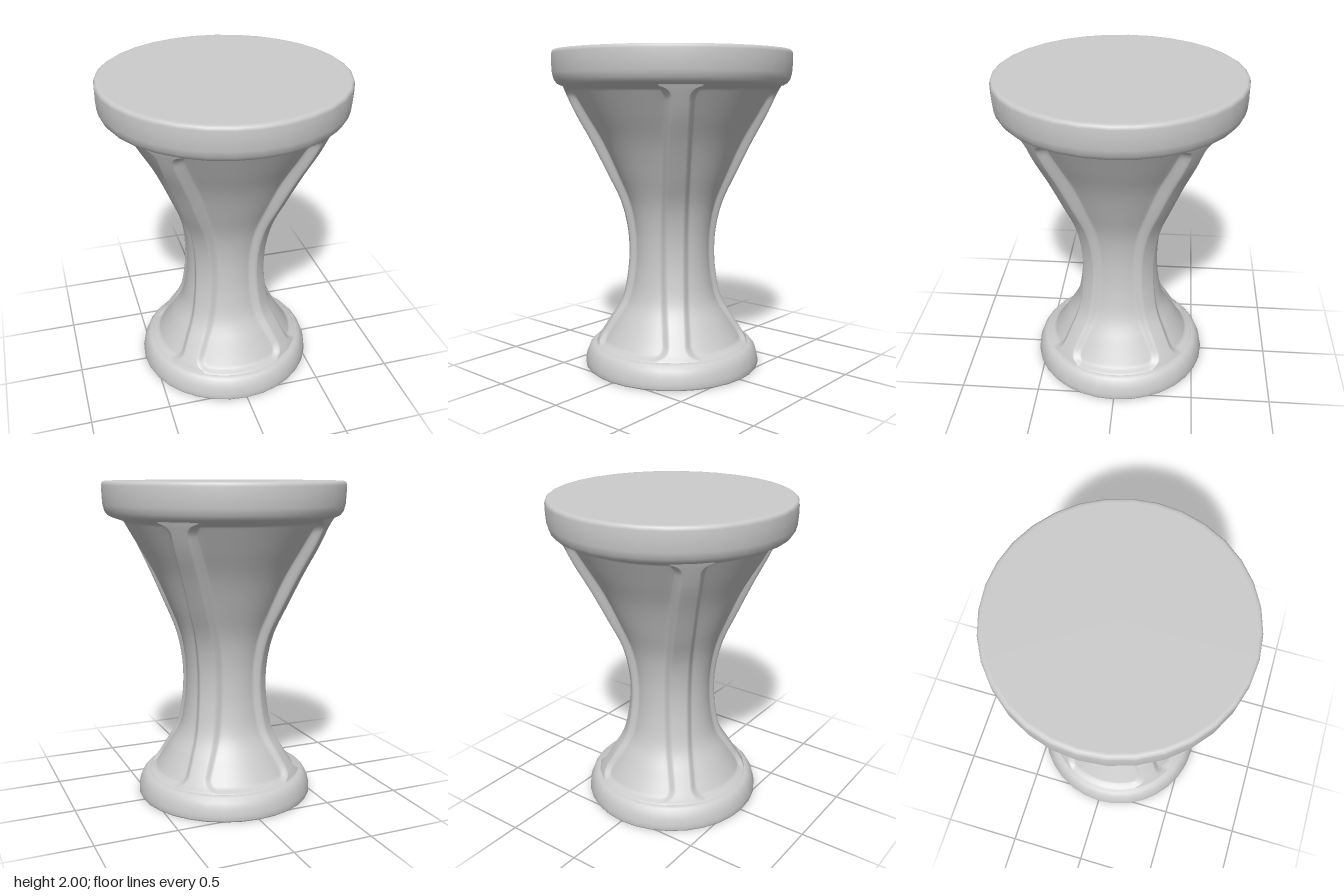
import * as THREE from 'three';

const V2 = (p) => new THREE.Vector2(p[0], p[1]);

// Pedestal column: flared waist with four raised ribs on the diagonals
// and four recessed panels with rounded corners between them.
function columnGeometry() {
  // panel radius, height, rib rise
  const spine = new THREE.CatmullRomCurve3([
    [0.462, 0.15, 0.03], [0.37, 0.296, 0.03], [0.29, 0.434, 0.03], [0.254, 0.598, 0.03],
    [0.243, 0.757, 0.03], [0.25, 0.905, 0.035], [0.28, 1.063, 0.045], [0.35, 1.243, 0.06],
    [0.44, 1.445, 0.07], [0.54, 1.62, 0.065], [0.635, 1.785, 0.045],
  ].map((p) => new THREE.Vector3(...p)));
  const flat = 0.04, bevel = 0.05, corner = 0.07, lip = 0.025;
  const rows = 64, bevelSteps = 7, panelSteps = 18;
  const smooth = THREE.MathUtils.smoothstep;
  const pos = [], index = [];
  let cols = 0;

  for (let i = 0; i <= rows; i++) {
    const s = 0.5 - 0.5 * Math.cos((Math.PI * i) / rows);
    const p = spine.getPoint(s);
    const end = Math.min(p.y - 0.15, 1.785 - p.y);
    const lipRise = 1 - smooth(end, 0, lip);
    // widen the rib close to its ends to round the panel corners
    const k = Math.max(0, corner - Math.max(0, end - lip * 0.5));
    const widen = corner - Math.sqrt(Math.max(0, corner * corner - k * k));
    // angle offsets and rise from the rib centre to the panel centre
    const half = [[0, 1]];
    for (let j = 0; j <= bevelSteps; j++) {
      const f = j / bevelSteps;
      half.push([Math.asin((flat + widen + bevel * f) / p.x), 1 - smooth(f, 0, 1)]);
    }
    const last = half[half.length - 1][0];
    for (let j = 1; j <= panelSteps / 2; j++) {
      half.push([last + ((Math.PI / 4 - last) * j * 2) / panelSteps, 0]);
    }
    const section = [
      ...half.slice(1).reverse().map(([a, m]) => [-a, m]),
      ...half.slice(0, -1),
    ];
    cols = section.length * 4;
    for (let q = 0; q < 4; q++) {
      for (const [a, m] of section) {
        const angle = Math.PI / 4 + (q * Math.PI) / 2 + a;
        const r = p.x + p.z * Math.max(m, lipRise);
        pos.push(r * Math.sin(angle), p.y, r * Math.cos(angle));
      }
    }
  }
  for (let i = 0; i < rows; i++) {
    for (let j = 0; j < cols; j++) {
      const a = i * cols + j, b = i * cols + ((j + 1) % cols);
      index.push(a, b, b + cols, a, b + cols, a + cols);
    }
  }
  const geometry = new THREE.BufferGeometry();
  geometry.setAttribute('position', new THREE.Float32BufferAttribute(pos, 3));
  geometry.setIndex(index);
  geometry.computeVertexNormals();
  return geometry;
}

export function createModel() {
  const group = new THREE.Group();
  group.name = 'stool';
  const plastic = new THREE.MeshStandardMaterial({ color: 0xcccccc });
  plastic.name = 'light grey plastic';

  const add = (name, geometry) => {
    const mesh = new THREE.Mesh(geometry, plastic);
    mesh.name = name;
    group.add(mesh);
  };

  // Round foot with a softened shoulder
  add('base', new THREE.LatheGeometry([
    [0, 0], [0.545, 0], [0.556, 0.002], [0.561, 0.012], [0.56, 0.04], [0.552, 0.08],
    [0.538, 0.115], [0.518, 0.14], [0.495, 0.149], [0.47, 0.151], [0.4, 0.151],
  ].map(V2), 32));

  add('column', columnGeometry());

  // Thick seat with a rounded underside
  add('seat', new THREE.LatheGeometry([
    [0.6, 1.782], [0.665, 1.782], [0.69, 1.785], [0.715, 1.798], [0.733, 1.822], [0.743, 1.86],
    [0.747, 1.92], [0.747, 1.975], [0.743, 1.992], [0.732, 1.999], [0.715, 2], [0, 2],
  ].map(V2), 32));

  return group;
}
